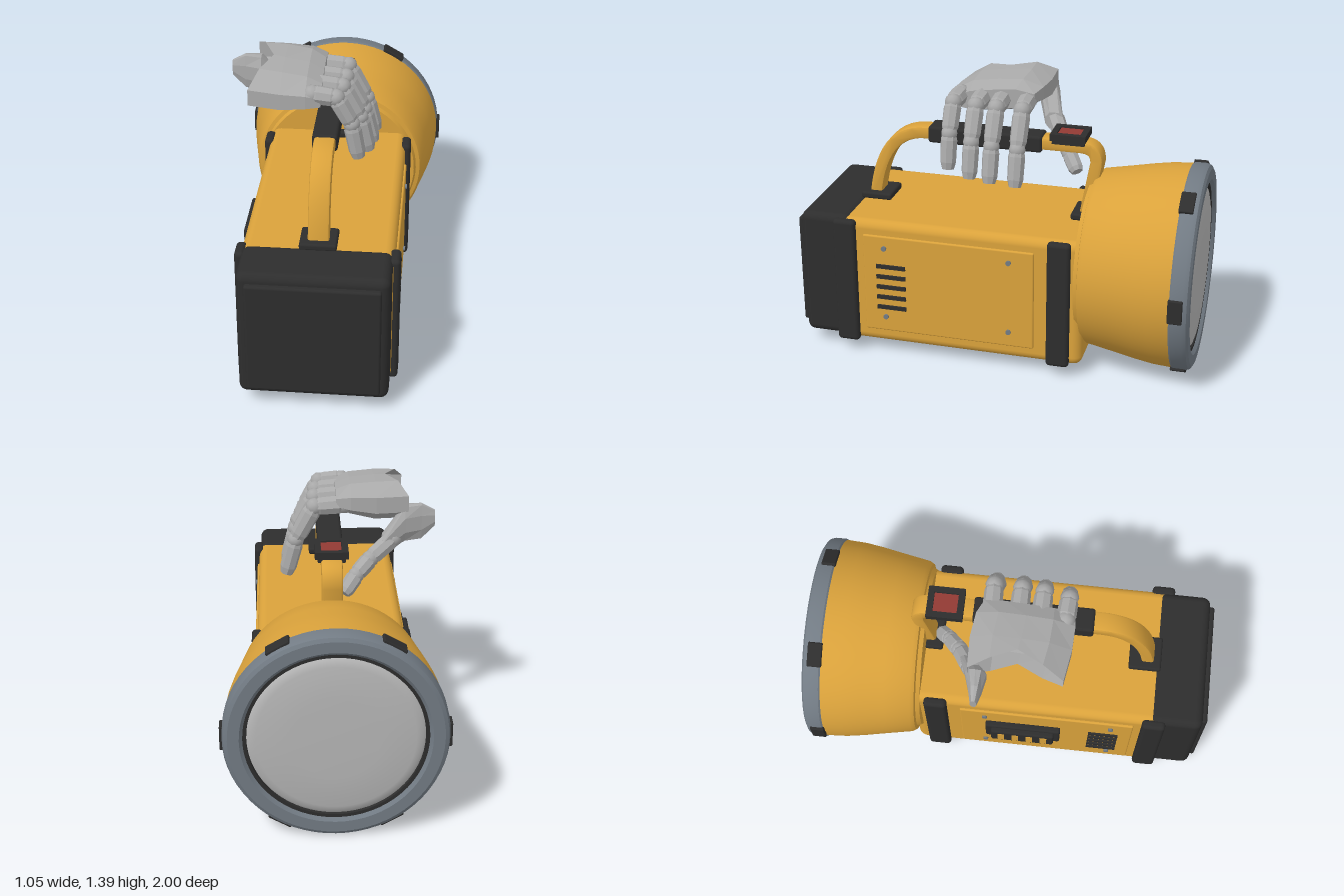
import * as THREE from 'three';
import { toCreasedNormals } from 'three/addons/utils/BufferGeometryUtils.js';
import { RoundedBoxGeometry } from 'three/addons/geometries/RoundedBoxGeometry.js';

const material = (name, color) => Object.assign(new THREE.MeshStandardMaterial({ color }), { name });

export function createModel() {
  const yellow = material('yellow paint', 0xdaa23b);
  const black = material('black rubber', 0x2d2d2d);
  const steel = material('grey steel', 0x727b84);
  const glass = material('lens grey', 0xb6b6b6);
  const red = material('red button', 0x923a34);
  const glove = material('hand grey', 0xa9a9a9);
  glove.side = THREE.DoubleSide;

  const model = new THREE.Group();
  model.name = 'handLantern';

  function add(name, geometry, mat, x = 0, y = 0, z = 0, parent = model) {
    const mesh = new THREE.Mesh(geometry, mat);
    mesh.name = name;
    mesh.position.set(x, y, z);
    parent.add(mesh);
    return mesh;
  }
  const box = (w, h, d) => new THREE.BoxGeometry(w, h, d);
  const rounded = (w, h, d, r) => new RoundedBoxGeometry(w, h, d, 3, r);

  // Main housing with rubber end cap
  add('body', rounded(0.71, 0.665, 1.29, 0.045), yellow, 0, 0.398, 0.175);
  add('endCap', rounded(0.7, 0.665, 0.265, 0.04), black, -0.002, 0.405, 0.843);
  add('endPlate', rounded(0.62, 0.575, 0.06, 0.012), black, 0, 0.403, 0.97);

  // Side bumpers, panels, screws and vents, the same on both sides
  for (const s of [-1, 1]) {
    for (const z of [0.735, -0.352])
      add('sideBumper', rounded(0.05, 0.665, 0.115, 0.02), black, s * 0.357, 0.396, z);
    add('sidePanel', rounded(0.02, 0.52, 0.87, 0.008), yellow, s * 0.356, 0.4, 0.205);
    for (const z of [0.53, -0.105])
      for (const y of [0.22, 0.597])
        add('screw', new THREE.CylinderGeometry(0.013, 0.013, 0.014, 12), steel, s * 0.369, y, z).rotation.z = Math.PI / 2;
    for (let i = 0; i < 5; i++)
      add('ventSlot', box(0.012, 0.02, 0.15), black, s * 0.37, 0.275 + i * 0.056, 0.497);
  }

  // Indicator unit on one side
  add('indicatorBase', rounded(0.035, 0.16, 0.38, 0.012), black, -0.378, 0.45, 0.09);
  add('indicatorFace', rounded(0.04, 0.125, 0.32, 0.012), black, -0.4, 0.45, 0.09);
  for (let i = 0; i < 4; i++)
    add('indicatorBar', box(0.006, 0.08, 0.034), yellow, -0.42, 0.45, -0.018 + i * 0.072);

  // Lamp head: profiles of radius and depth turned about the z axis
  const turned = (name, profile, mat) => {
    const g = new THREE.LatheGeometry(profile.map(p => new THREE.Vector2(...p)), 64).rotateX(-Math.PI / 2);
    return add(name, toCreasedNormals(g, 0.5), mat, 0, 0.515, 0);
  };
  turned('lampHead', [[0, 0.43], [0.4, 0.43], [0.41, 0.45], [0.43, 0.455], [0.442, 0.475],
    [0.465, 0.6], [0.488, 0.72], [0.502, 0.81], [0.508, 0.915]], yellow);
  turned('rimRing', [[0.506, 0.905], [0.513, 0.915], [0.513, 0.97], [0.505, 0.99], [0.488, 1.0],
    [0.435, 1.0], [0.42, 0.985], [0.42, 0.94]], steel);
  turned('lensSeal', [[0.425, 0.95], [0.422, 0.984], [0.404, 0.984], [0.4, 0.95]], black);
  turned('lens', [[0.406, 0.95], [0.404, 0.968], [0.39, 0.98], [0.36, 0.988], [0.2, 0.993], [0, 0.995]], glass);
  for (let i = 0; i < 6; i++) {
    const a = i * Math.PI / 3;
    add('rimClip', rounded(0.03, 0.12, 0.07, 0.006), black,
      0.508 * Math.cos(a), 0.515 + 0.508 * Math.sin(a), -0.937).rotation.z = a;
  }

  // Carrying handle: a band of even thickness around a side path
  const path = new THREE.Path();
  path.moveTo(0.68, 0.74);
  path.bezierCurveTo(0.65, 0.98, 0.56, 1.1, 0.41, 1.1);
  path.lineTo(-0.37, 1.1);
  path.bezierCurveTo(-0.43, 1.1, -0.46, 1.08, -0.46, 1.02);
  path.lineTo(-0.41, 0.74);
  const pts = path.getPoints(14);
  const edge = d => pts.map((p, i) => {
    const t = pts[Math.min(i + 1, pts.length - 1)].clone().sub(pts[Math.max(i - 1, 0)]).normalize();
    return new THREE.Vector2(p.x - t.y * d, p.y + t.x * d);
  });
  const band = new THREE.Shape([...edge(0.019), ...edge(-0.019).reverse()]);
  const handle = new THREE.ExtrudeGeometry(band, {
    depth: 0.076, bevelEnabled: true, bevelSize: 0.012, bevelThickness: 0.012, bevelSegments: 2
  }).translate(0, 0, -0.038).rotateY(-Math.PI / 2);
  add('handle', toCreasedNormals(handle, 0.6), yellow);
  add('handleFoot', rounded(0.175, 0.035, 0.16, 0.012), black, 0, 0.748, 0.665);
  add('handleFoot', rounded(0.175, 0.035, 0.11, 0.012), black, 0, 0.748, -0.4);
  add('grip', rounded(0.12, 0.085, 0.58, 0.015), black, 0, 1.098, 0.1);

  // Switch: frame of four bars around a red button
  add('switchBase', box(0.13, 0.03, 0.16), black, 0, 1.128, -0.322);
  for (const s of [-1, 1]) {
    add('switchFrameSide', box(0.03, 0.035, 0.175), black, s * 0.064, 1.15, -0.322);
    add('switchFrameEnd', box(0.15, 0.035, 0.03), black, 0, 1.15, -0.322 + s * 0.073);
  }
  add('switchButton', box(0.095, 0.02, 0.115), red, 0, 1.15, -0.322);

  // Hand gripping the handle
  const hand = new THREE.Group();
  hand.name = 'hand';
  model.add(hand);
  const faceted = g => {
    const f = g.index ? g.toNonIndexed() : g;
    f.computeVertexNormals();
    return f;
  };

  // Loft of ten-sided sections along x; each is [x, zCentre, zHalf, yCentre, yHalf, notchDepth]
  const ringShape = [[-1, -0.4], [-1, 0.4], [-0.55, 0.95], [0, 1], [0.55, 0.95],
    [1, 0.4], [1, -0.4], [0.55, -0.95], [0, -1], [-0.55, -0.95]];
  function loft(sections, openStart, tilt = 0) {
    const n = ringShape.length, pos = [], idx = [];
    for (const [x, zc, hz, yc, hy, notch = 0] of sections)
      for (const [u, v] of ringShape)
        pos.push(x + notch * (1 - Math.abs(u)), yc + hy * v - tilt * u, zc + hz * u);
    for (let s = 0; s < sections.length - 1; s++)
      for (let i = 0; i < n; i++) {
        const a = s * n + i, b = s * n + (i + 1) % n;
        idx.push(a, a + n, b, b, a + n, b + n);
      }
    const last = (sections.length - 1) * n;
    for (let i = 1; i < n - 1; i++) {
      if (!openStart) idx.push(0, i, i + 1);
      idx.push(last, last + i + 1, last + i);
    }
    const g = new THREE.BufferGeometry();
    g.setAttribute('position', new THREE.Float32BufferAttribute(pos, 3));
    g.setIndex(idx);
    return faceted(g);
  }
  add('palm', loft([
    [-0.375, 0.05, 0.22, 1.285, 0.1, 0.1], [-0.22, 0.06, 0.235, 1.28, 0.1],
    [-0.1, 0.07, 0.23, 1.285, 0.08], [-0.03, 0.08, 0.21, 1.28, 0.05]
  ], true, 0.025), glove, 0, 0, 0, hand);
  add('thumbMound', loft([
    [-0.505, -0.13, 0.015, 1.225, 0.04], [-0.44, -0.13, 0.03, 1.21, 0.09],
    [-0.36, -0.135, 0.05, 1.205, 0.09], [-0.25, -0.18, 0.045, 1.115, 0.045]
  ], false), glove, 0, 0, 0, hand);

  // Jointed finger: bevelled eight-sided segments with a faceted ball at each joint
  const up = new THREE.Vector3(0, 1, 0);
  function finger(name, points, r) {
    const group = new THREE.Group();
    group.name = name;
    hand.add(group);
    for (let i = 0; i < points.length - 1; i++) {
      const a = new THREE.Vector3(...points[i]), dir = new THREE.Vector3(...points[i + 1]).sub(a);
      const len = dir.length(), q = r * (1 - i * 0.05);
      const profile = [[0, 0], [0.8, 0], [1, 0.18], [0.95, 0.8], [0.72, 1], [0, 1]]
        .map(([x, y]) => new THREE.Vector2(x * q, y * len));
      const segment = add('fingerSegment', faceted(new THREE.LatheGeometry(profile, 8)), glove, a.x, a.y, a.z, group);
      segment.quaternion.setFromUnitVectors(up, dir.normalize());
      add('fingerJoint', new THREE.IcosahedronGeometry(q * 0.97, 1), glove, a.x, a.y, a.z, group);
    }
  }
  // Each finger: z position, shift of the tip in x and in y
  const fingers = [[0.26, -0.055, 0.035], [0.14, -0.015, 0.012], [0.035, 0, 0.004], [-0.095, 0.005, 0]];
  for (const [z, dx, dy] of fingers)
    finger('finger', [[-0.07, 1.285, z * 0.97], [0.07 + dx * 0.5, 1.275, z],
      [0.16 + dx * 0.8, 1.105 + dy, z], [0.205 + dx, 0.93 + dy, z]], 0.047);
  finger('thumb', [[-0.3, 1.135, -0.17], [-0.19, 1.06, -0.235], [-0.12, 1.0, -0.29], [-0.06, 0.93, -0.345]], 0.045);

  return model;
}
